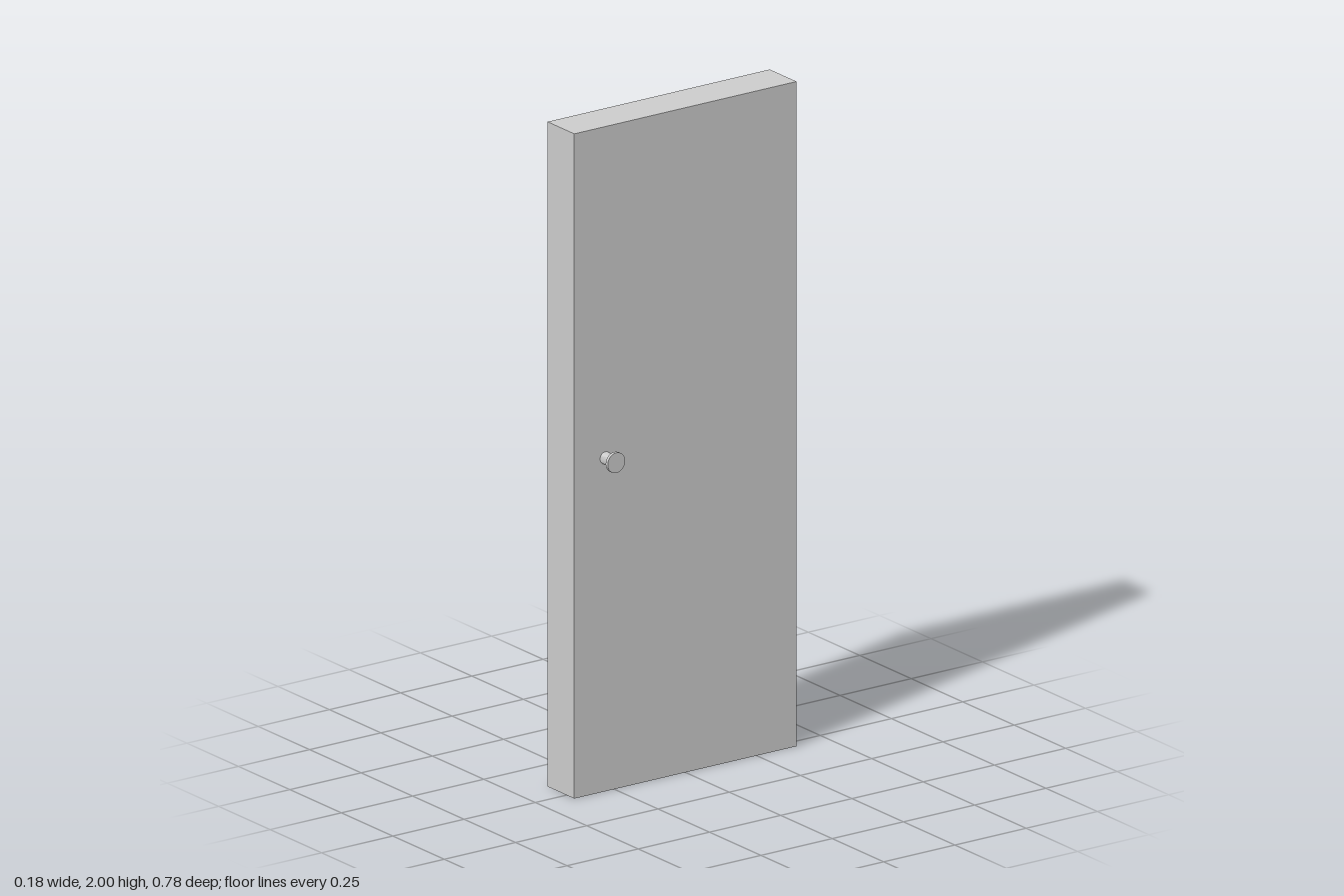
import * as THREE from 'three';
import { toCreasedNormals } from 'three/addons/utils/BufferGeometryUtils.js';

export function createModel() {
  const model = new THREE.Group();
  model.name = 'door';
  const material = new THREE.MeshStandardMaterial({ color: 0xcccccc });

  // Plain slab, standing edge-on to the front
  const panel = new THREE.Mesh(new THREE.BoxGeometry(0.13, 2, 0.78), material);
  panel.name = 'doorPanel';
  panel.position.set(-0.028, 1, 0);
  model.add(panel);

  // Knob: tapered stem and flat disc, turned about its own axis
  const profile = [
    [0, 0], [0.0185, 0], [0.0175, 0.015], [0.0162, 0.03], [0.016, 0.044],
    [0.0305, 0.044], [0.0305, 0.054], [0, 0.054],
  ].map(([r, h]) => new THREE.Vector2(r, h));
  const knob = new THREE.Mesh(
    toCreasedNormals(new THREE.LatheGeometry(profile, 32), Math.PI / 5), material);
  knob.name = 'doorKnob';
  knob.rotation.z = -Math.PI / 2; // axis points out of the +x face
  knob.position.set(0.037, 1.003, 0.281);
  model.add(knob);

  return model;
}
